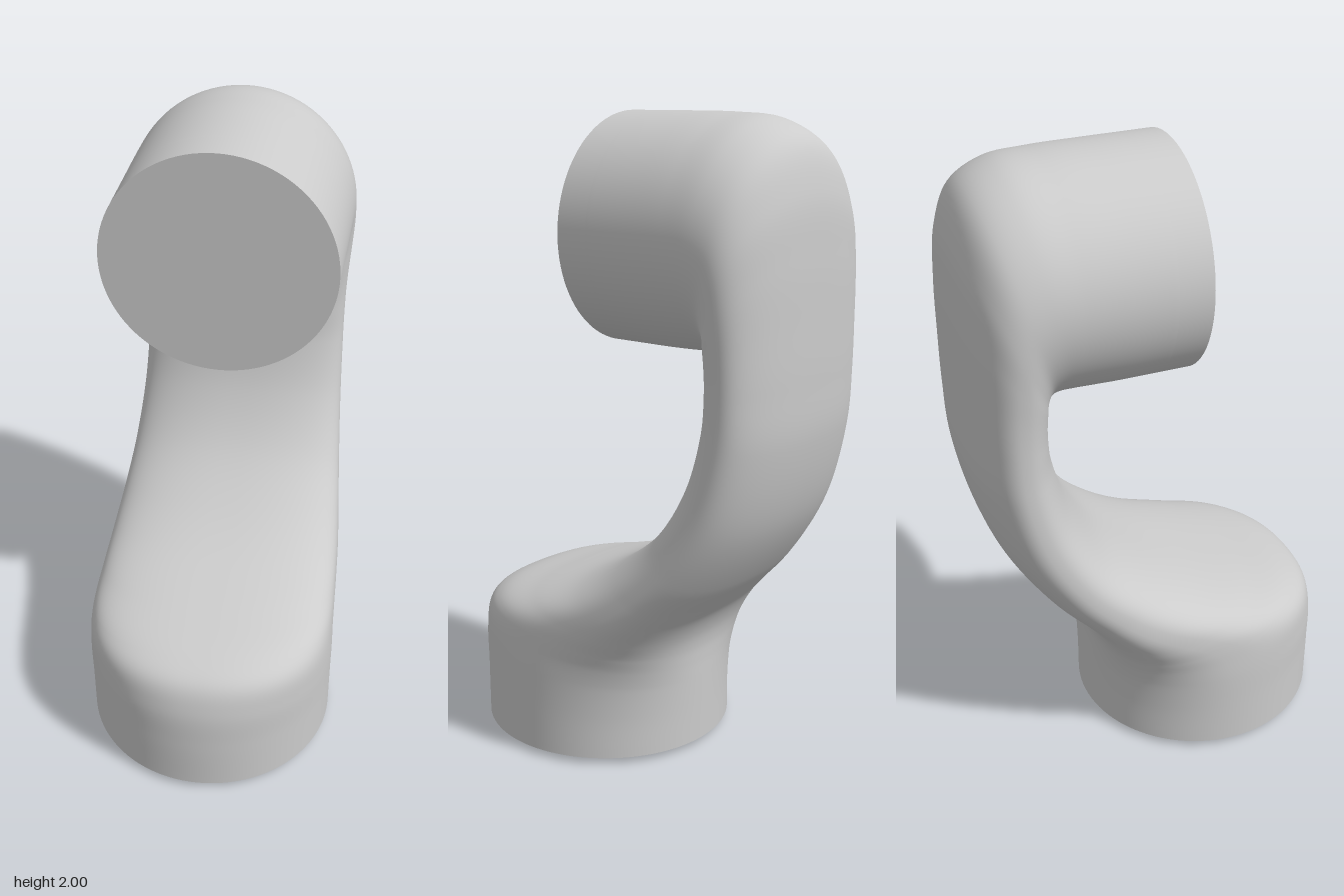
import * as THREE from 'three';

const material = new THREE.MeshStandardMaterial({ color: 0xcccccc });

// Cross-sections from base to head:
// inner edge z, y | outer edge z, y | half width, roundness (2 = ellipse)
const SECTIONS = [
  [0.595, 0.02, -0.215, 0.02, 0.405, 2],
  [0.595, 0.2, -0.215, 0.14, 0.405, 2],
  [0.585, 0.34, -0.215, 0.24, 0.405, 2.1],
  [0.55, 0.43, -0.215, 0.3, 0.402, 2.3],
  [0.47, 0.477, -0.218, 0.35, 0.399, 2.5],
  [0.3, 0.52, -0.23, 0.4, 0.394, 2.6],
  [0.1, 0.58, -0.26, 0.46, 0.386, 2.6],
  [-0.05, 0.665, -0.31, 0.52, 0.374, 2.5],
  [-0.2, 0.8, -0.4, 0.62, 0.357, 2.4],
  [-0.3, 0.97, -0.52, 0.82, 0.34, 2.4],
  [-0.348, 1.14, -0.585, 1.07, 0.331, 2.4],
  [-0.356, 1.23, -0.595, 1.25, 0.33, 2.4],
  [-0.355, 1.26, -0.596, 1.42, 0.333, 2.35],
  [-0.35, 1.285, -0.594, 1.61, 0.34, 2.25],
  [-0.345, 1.296, -0.58, 1.79, 0.346, 2.1],
  [-0.335, 1.302, -0.53, 1.925, 0.348, 2],
  [-0.32, 1.306, -0.43, 1.985, 0.349, 2],
  [-0.28, 1.306, -0.3, 1.998, 0.349, 2],
  [-0.15, 1.302, -0.15, 2.0, 0.349, 2],
  [-0.03, 1.302, -0.03, 2.0, 0.349, 2],
];

function addMesh(group, name, geometry) {
  const mesh = new THREE.Mesh(geometry, material);
  mesh.name = name;
  group.add(mesh);
  return mesh;
}

// Smooth skin over the interpolated cross-sections
function loftGeometry(rings, sides) {
  const curve = (i, j) => new THREE.CatmullRomCurve3(
    SECTIONS.map((s) => new THREE.Vector3(0, s[j], s[i])));
  const inner = curve(0, 1);
  const outer = curve(2, 3);
  const size = new THREE.CatmullRomCurve3(
    SECTIONS.map((s) => new THREE.Vector3(s[4], s[5], 0)), false, 'catmullrom', 0.5);
  const positions = [];
  const index = [];
  for (let r = 0; r <= rings; r++) {
    const t = r / rings;
    const a = inner.getPoint(t);
    const b = outer.getPoint(t);
    const { x: width, y: power } = size.getPoint(t);
    const centre = a.clone().add(b).multiplyScalar(0.5);
    const half = a.clone().sub(b).multiplyScalar(0.5);
    const bend = (v) => Math.sign(v) * Math.abs(v) ** (2 / power);
    for (let s = 0; s < sides; s++) {
      const u = (s / sides) * Math.PI * 2;
      const p = centre.clone().addScaledVector(half, bend(Math.sin(u)));
      positions.push(width * bend(Math.cos(u)), p.y, p.z);
      if (r === rings) continue;
      const i = r * sides + s;
      const j = r * sides + ((s + 1) % sides);
      index.push(i, i + sides, j, j, i + sides, j + sides);
    }
  }
  const geometry = new THREE.BufferGeometry();
  geometry.setAttribute('position', new THREE.Float32BufferAttribute(positions, 3));
  geometry.setIndex(index);
  geometry.computeVertexNormals();
  return geometry;
}

export function createModel() {
  const group = new THREE.Group();
  group.name = 'armLink';

  // Curved housing from round base to round head
  addMesh(group, 'housing', loftGeometry(152, 96));

  // Flat underside of the base
  const underside = addMesh(group, 'baseUnderside', new THREE.CircleGeometry(0.405, 96));
  underside.rotation.x = Math.PI / 2;
  underside.position.set(0, 0.02, 0.19);

  // Raised mounting pad below the base
  const pad = addMesh(group, 'mountingPad', new THREE.CylinderGeometry(0.22, 0.22, 0.02, 64));
  pad.position.set(0, 0.01, 0.19);

  // Round cover closing the head
  const cover = addMesh(group, 'headCover', new THREE.CylinderGeometry(0.349, 0.349, 0.105, 96));
  cover.rotation.x = Math.PI / 2;
  cover.position.set(0, 1.651, 0.0225);

  return group;
}
